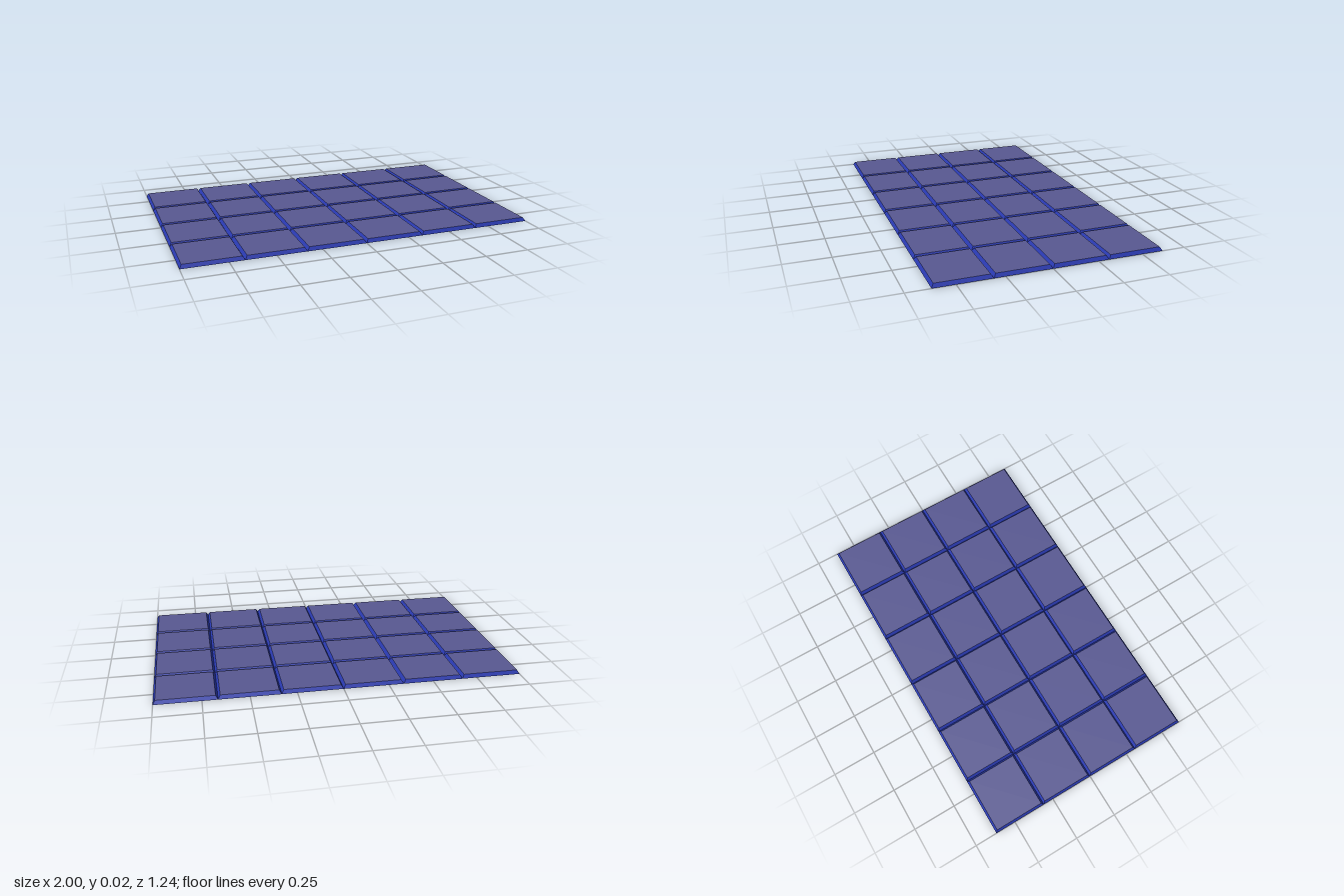
import * as THREE from 'three';

const COLS = 6, ROWS = 4;
const PITCH_X = 2 / COLS, PITCH_Z = 0.31;
const HEIGHT = 0.02, INSET = 0.012;

// Four sloping walls, open above and below, narrower at the top
function slopedFrame(width, depth) {
  let g = new THREE.CylinderGeometry(1, 1, HEIGHT, 4, 1, true);
  g.rotateY(Math.PI / 4).translate(0, HEIGHT / 2, 0);
  const p = g.attributes.position;
  for (let i = 0; i < p.count; i++) {
    const inset = p.getY(i) > HEIGHT / 2 ? INSET : 0;
    p.setX(i, Math.sign(p.getX(i)) * (width / 2 - inset));
    p.setZ(i, Math.sign(p.getZ(i)) * (depth / 2 - inset));
  }
  g = g.toNonIndexed();
  g.computeVertexNormals();
  return g;
}

export function createModel() {
  const model = new THREE.Group();
  model.name = 'panelArray';

  const frameMaterial = new THREE.MeshStandardMaterial({ color: 0x2a3ab0, side: THREE.DoubleSide });
  const panelMaterial = new THREE.MeshStandardMaterial({ color: 0x585892, side: THREE.DoubleSide });

  const frameGeometry = slopedFrame(PITCH_X, PITCH_Z);
  const panelGeometry = new THREE.PlaneGeometry(PITCH_X - 2 * INSET, PITCH_Z - 2 * INSET);
  panelGeometry.rotateX(-Math.PI / 2).translate(0, HEIGHT, 0);

  // Grid of tiles: each has a sloped frame and a flat panel on top
  for (let row = 0; row < ROWS; row++) {
    for (let col = 0; col < COLS; col++) {
      const tile = new THREE.Group();
      tile.name = `tile_${row}_${col}`;
      tile.position.set((col - (COLS - 1) / 2) * PITCH_X, 0, (row - (ROWS - 1) / 2) * PITCH_Z);

      const frame = new THREE.Mesh(frameGeometry, frameMaterial);
      frame.name = 'frame';
      const panel = new THREE.Mesh(panelGeometry, panelMaterial);
      panel.name = 'panel';

      tile.add(frame, panel);
      model.add(tile);
    }
  }
  return model;
}
